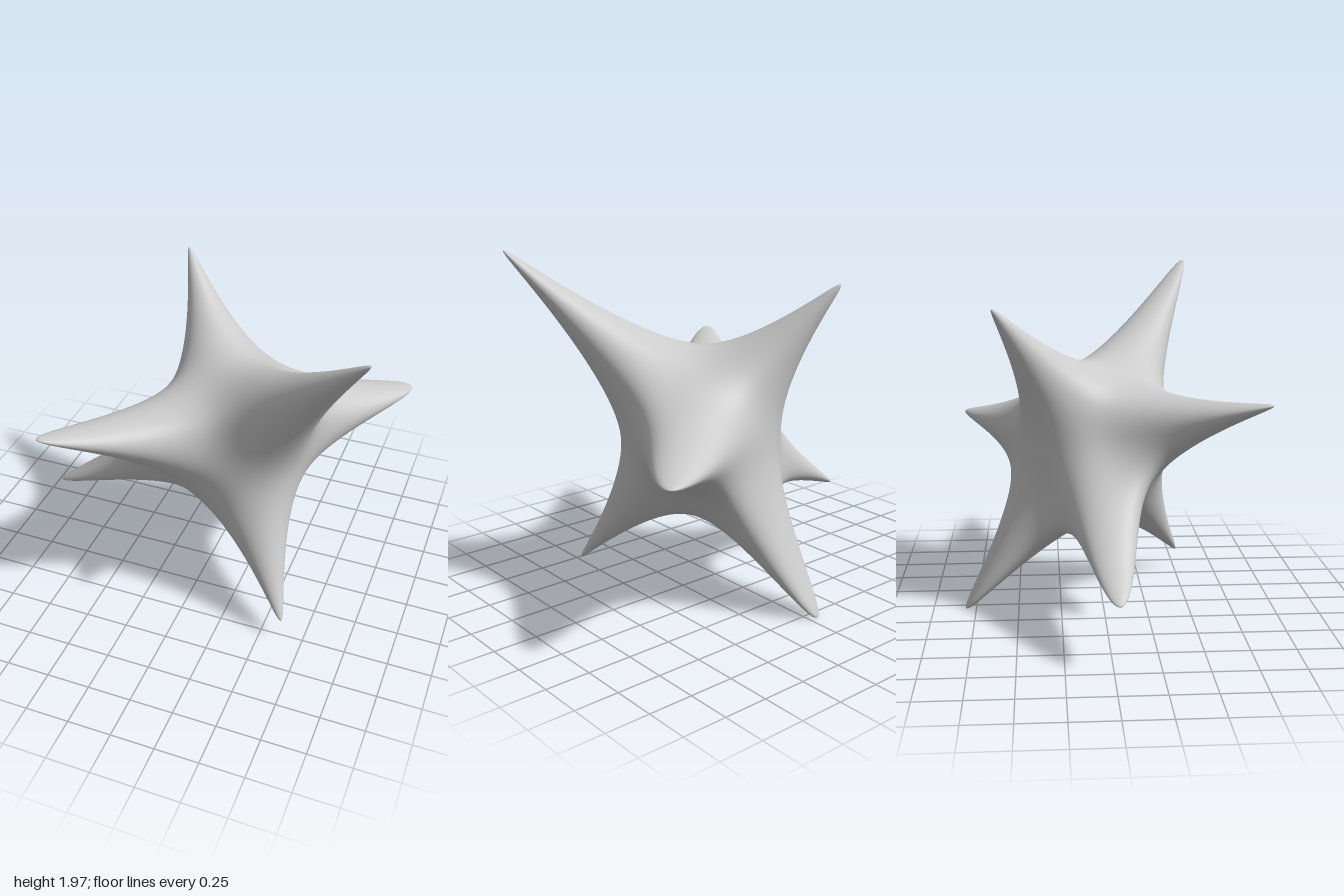
import * as THREE from 'three';
import { mergeVertices } from 'three/addons/utils/BufferGeometryUtils.js';

const CENTER = new THREE.Vector3(0.14, 0.97, -0.05);
const CORE = 0.44; // radius of the rounded body

// Each spike: tip position, angular reach in radians, then how far its sides
// pinch in across its horizontal width and across its thickness
// (a negative value flares them out).
const SPIKES = [
  { tip: [1.0, 1.97, 0.58], reach: 0.435, width: 0.3, thick: 0.66 },
  { tip: [-0.37, 1.79, -0.61], reach: 0.4, width: 0.6, thick: 0.6 },
  { tip: [-0.65, 1.31, 0.85], reach: 0.395, width: 0.0, thick: 0.64 },
  { tip: [0.99, 0.99, -0.84], reach: 0.445, width: -0.12, thick: 0.62 },
  { tip: [-1.0, 0.36, 0.03], reach: 0.35, width: -0.2, thick: 0.62 },
  { tip: [0.62, 0.12, 0.51], reach: 0.415, width: 0.55, thick: 0.68 },
  { tip: [-0.05, 0.0, -0.81], reach: 0.41, width: -0.05, thick: 0.58 },
].map(({ tip, ...shape }) => {
  const axis = new THREE.Vector3(...tip).sub(CENTER);
  const length = axis.length();
  axis.normalize();
  const across = new THREE.Vector3(0, 1, 0).cross(axis).normalize();
  const over = axis.clone().cross(across);
  return { axis, across, over, length, ...shape };
});

// Draws a point of the unit sphere out towards the spikes near it
function starPoint(dir) {
  const p = dir.clone().multiplyScalar(CORE);
  for (const s of SPIKES) {
    const cos = THREE.MathUtils.clamp(dir.dot(s.axis), -1, 1);
    const pull = Math.exp(-((Math.acos(cos) / s.reach) ** 2));
    p.addScaledVector(s.axis, pull * (s.length - CORE * cos));
    p.addScaledVector(s.across, -pull * s.width * CORE * dir.dot(s.across));
    p.addScaledVector(s.over, -pull * s.thick * CORE * dir.dot(s.over));
  }
  return p.add(CENTER);
}

export function createModel() {
  // Evenly divided sphere with shared vertices, for smooth normals
  let geometry = new THREE.IcosahedronGeometry(1, 60);
  geometry.deleteAttribute('normal');
  geometry.deleteAttribute('uv');
  geometry = mergeVertices(geometry, 1e-5);

  const pos = geometry.attributes.position;
  const dir = new THREE.Vector3();
  for (let i = 0; i < pos.count; i++) {
    const p = starPoint(dir.fromBufferAttribute(pos, i).normalize());
    pos.setXYZ(i, p.x, p.y, p.z);
  }
  geometry.computeVertexNormals();

  const body = new THREE.Mesh(geometry, new THREE.MeshStandardMaterial({ color: 0xcccccc }));
  body.name = 'spikedStarBody';
  const group = new THREE.Group();
  group.name = 'spikedStar';
  group.add(body);
  return group;
}
